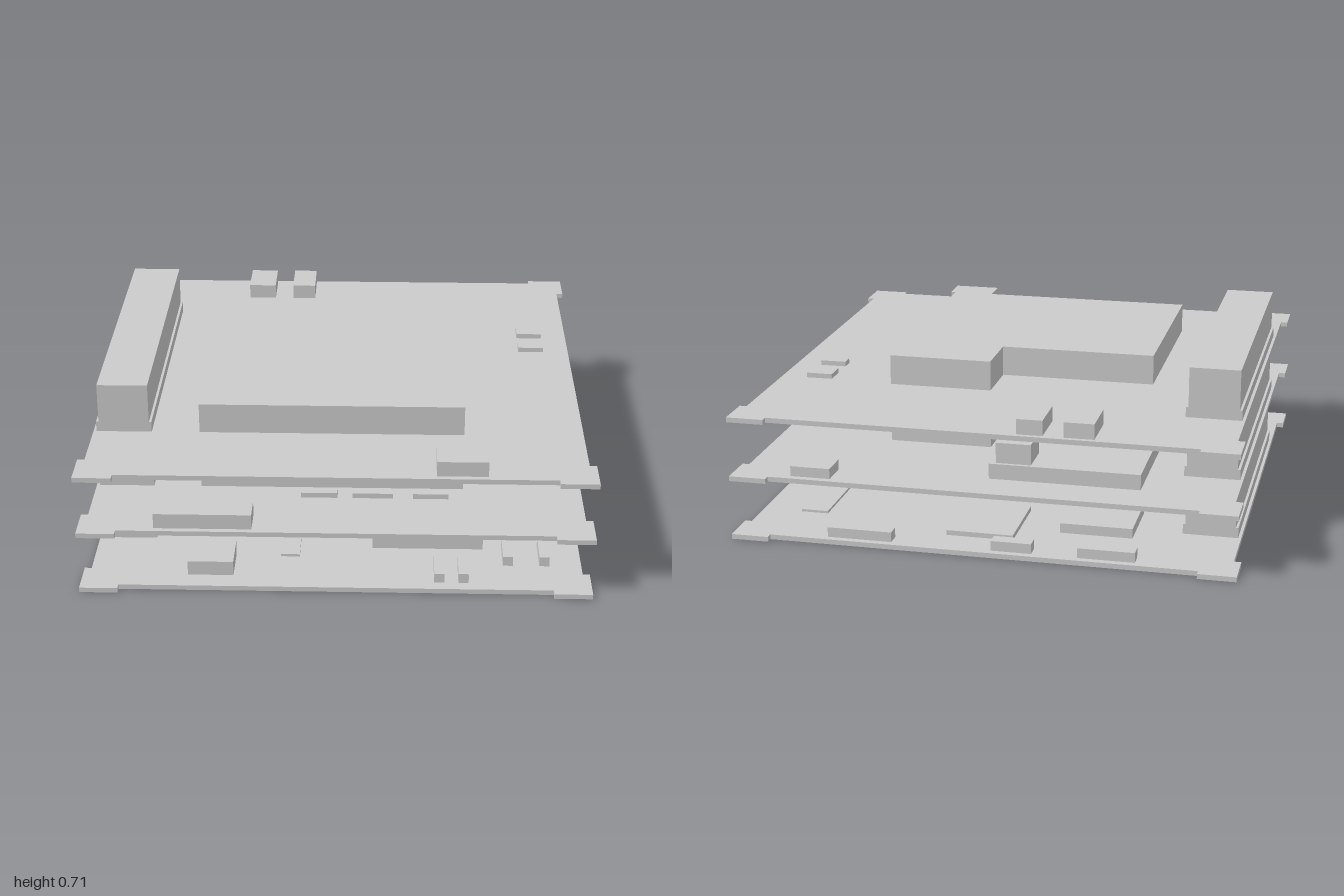
import * as THREE from 'three';

const material = new THREE.MeshStandardMaterial({ color: 0xcccccc, flatShading: true });
const THICK = 0.02;      // board thickness
const PITCH = 0.243;     // distance between boards

// Extrude an outline given in (x, z) upward from y0 to y1
function slab(name, outline, y0, y1) {
  const shape = new THREE.Shape(outline.map(([x, z]) => new THREE.Vector2(x, -z)));
  const geo = new THREE.ExtrudeGeometry(shape, { depth: y1 - y0, bevelEnabled: false });
  geo.rotateX(-Math.PI / 2).translate(0, y0, 0);
  const mesh = new THREE.Mesh(geo, material);
  mesh.name = name;
  return mesh;
}

// Box given by its limits
function block(name, x0, x1, z0, z1, y0, y1) {
  const mesh = new THREE.Mesh(new THREE.BoxGeometry(x1 - x0, y1 - y0, z1 - z0), material);
  mesh.position.set((x0 + x1) / 2, (y0 + y1) / 2, (z0 + z1) / 2);
  mesh.name = name;
  return mesh;
}

// Square board with slightly projecting corner tabs
function board() {
  const e = 0.972, t = 0.85;
  const corner = [[1, t], [1, 1], [t, 1], [t, e], [-t, e], [-t, 1], [-1, 1], [-1, t], [-e, t]];
  const half = corner.concat([[-e, -t]]);
  const rest = [[-1, -t], [-1, -1], [-t, -1], [-t, -e], [t, -e], [t, -1], [1, -1], [1, -t], [e, -t], [e, t]];
  return slab('board', half.concat(rest), 0, THICK);
}

// Tall stacking connector on a wider foot
function connector() {
  const g = new THREE.Group();
  g.name = 'stackingConnector';
  g.add(block('connectorFoot', -0.96, -0.74, -0.61, 0.607, THICK, 0.062));
  g.add(block('connectorBody', -0.95, -0.75, -0.61, 0.607, 0.062, 0.222));
  return g;
}

// L-shaped shielded module
function shieldedModule() {
  const outline = [[-0.55, 0.605], [0.5, 0.605], [0.5, -0.443], [0.08, -0.443], [0.08, -0.22], [-0.55, -0.22]];
  return slab('shieldedModule', outline, THICK, 0.142);
}

// Components per board: name, x0, x1, z0, z1, top, optional bottom
const LOWER = [
  ['largeChip', 0.14, 0.585, 0.29, 0.665, 0.08],
  ['largeChip', 0.14, 0.585, -0.14, 0.225, 0.08],
  ['cornerSocket', -0.585, -0.405, 0.73, 0.89, 0.08],
  ['flatChip', -0.225, -0.15, 0.575, 0.74, 0.03],
  ['flatChip', 0.7, 0.81, -0.705, -0.385, 0.03],
  ['wideChip', -0.1, 0.168, -0.825, -0.5, 0.04],
  ['powerChip', -0.555, -0.265, -0.705, -0.42, 0.06],
  ['smallPart', 0.805, 0.845, 0.225, 0.305, 0.06],
  ['pinStrip', 0.385, 0.425, 0.77, 0.925, 0.06],
  ['pinStrip', 0.48, 0.52, 0.77, 0.925, 0.06],
  ['pinStrip', 0.66, 0.7, 0.63, 0.79, 0.06],
  ['pinStrip', 0.805, 0.845, 0.63, 0.79, 0.06],
  ['edgeStrip', 0.36, 0.62, -0.945, -0.89, 0.06],
  ['edgeStrip', -0.2, -0.04, -0.945, -0.89, 0.06],
  ['edgeStrip', -0.605, -0.38, -0.945, -0.89, 0.06],
];
const MIDDLE = [
  ['frontSocket', -0.705, -0.325, 0.835, 0.95, 0.082],
  ['rearSocket', -0.6, 0, -0.805, -0.25, 0.082],
  ['raisedPlug', -0.165, -0.025, -0.79, -0.64, 0.165, 0.082],
  ['cornerSocket', 0.605, 0.765, -0.945, -0.83, 0.061],
  ['lowChip', -0.145, 0, 0.65, 0.69, 0.041],
  ['lowChip', 0.06, 0.22, 0.65, 0.69, 0.041],
  ['lowChip', 0.3, 0.44, 0.65, 0.69, 0.041],
];
const UPPER = [
  ['frontSocket', 0.385, 0.582, 0.83, 0.95, 0.081],
  ['rearSocket', -0.445, -0.327, -0.953, -0.77, 0.081],
  ['rearSocket', -0.246, -0.145, -0.953, -0.77, 0.081],
  ['lowChip', 0.758, 0.865, -0.43, -0.34, 0.04],
  ['lowChip', 0.758, 0.865, -0.248, -0.195, 0.04],
];

export function createModel() {
  const model = new THREE.Group();
  model.name = 'boardStack';
  const levels = [['lowerBoard', LOWER], ['middleBoard', MIDDLE], ['upperBoard', UPPER]];
  levels.forEach(([name, parts], i) => {
    const level = new THREE.Group();
    level.name = name;
    level.position.y = i * PITCH;
    level.add(board(), connector());
    if (i > 0) level.add(shieldedModule());
    for (const [part, x0, x1, z0, z1, top, bottom = THICK] of parts) {
      level.add(block(part, x0, x1, z0, z1, bottom, top));
    }
    model.add(level);
  });
  return model;
}
